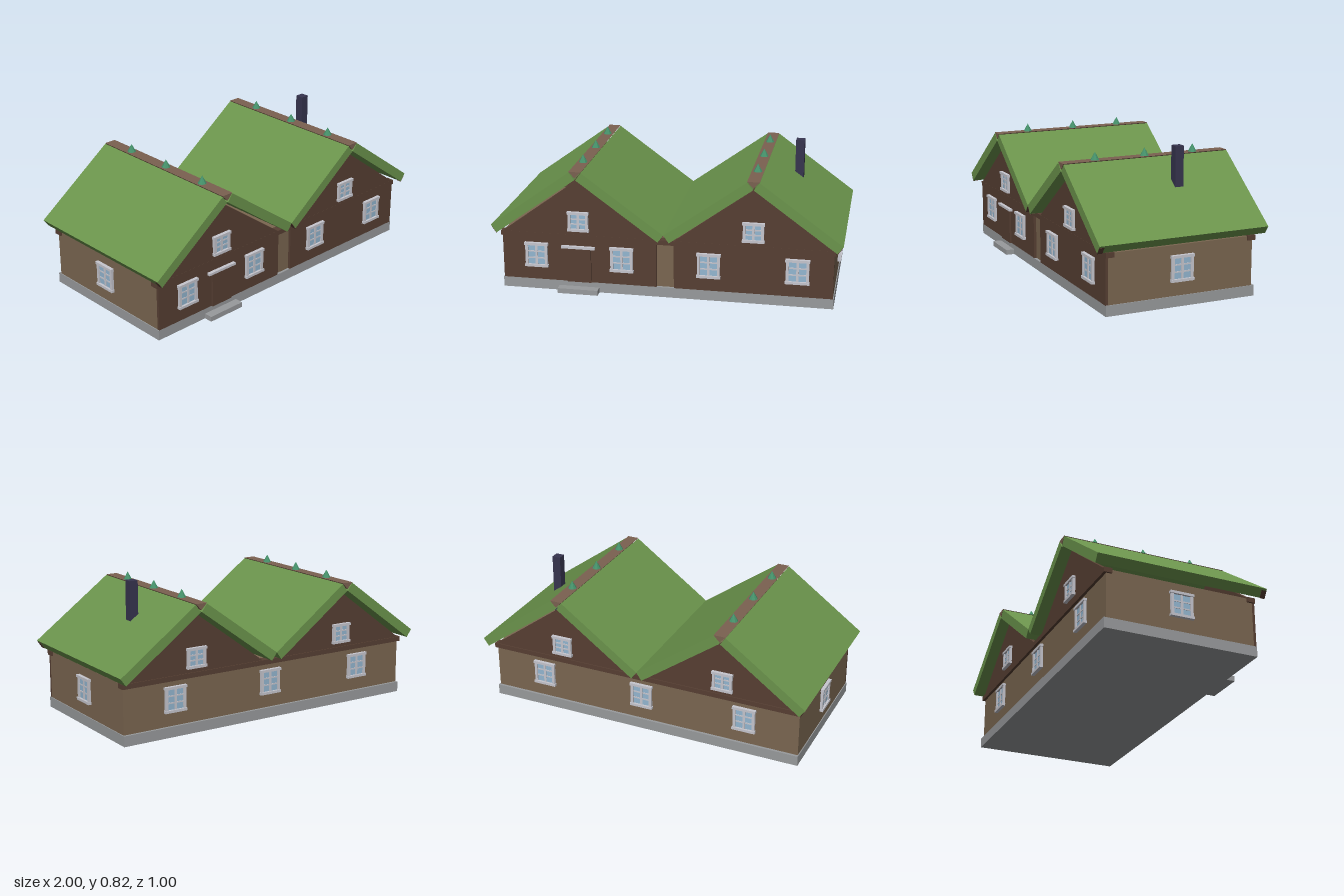
import * as THREE from 'three';

const mat = (name, color) => {
  const m = new THREE.MeshStandardMaterial({ color });
  m.name = name;
  return m;
};

export function createModel() {
  const turf = mat('turf green', 0x6b944c);
  const tan = mat('tan timber', 0x7a6650);
  const brown = mat('dark brown timber', 0x573f33);
  const ridgeWood = mat('ridge wood', 0x7a6150);
  const stone = mat('grey stone', 0x989a9c);
  const trim = mat('pale trim', 0xc6c6ce);
  const glass = mat('window glass', 0x93b6d0);
  const iron = mat('chimney slate', 0x36344e);
  const leaf = mat('ornament green', 0x45916a);

  const house = new THREE.Group();
  house.name = 'twinGableHouse';

  const add = (parent, name, geometry, material) => {
    const mesh = new THREE.Mesh(geometry, material);
    mesh.name = name;
    parent.add(mesh);
    return mesh;
  };
  // Box given by its low and high limits on each axis
  const box = (parent, name, material, x0, x1, y0, y1, z0, z1) => {
    const mesh = add(parent, name, new THREE.BoxGeometry(x1 - x0, y1 - y0, z1 - z0), material);
    mesh.position.set((x0 + x1) / 2, (y0 + y1) / 2, (z0 + z1) / 2);
    return mesh;
  };
  // Prism with an xy outline, running from z0 to z1
  const prism = (parent, name, material, points, z0, z1) => {
    const shape = new THREE.Shape(points.map(([x, y]) => new THREE.Vector2(x, y)));
    const geometry = new THREE.ExtrudeGeometry(shape, { depth: z1 - z0, bevelEnabled: false });
    geometry.translate(0, 0, z0);
    return add(parent, name, geometry, material);
  };

  // Base and walls
  box(house, 'foundation', stone, -0.955, 0.955, 0, 0.06, -0.445, 0.445);
  box(house, 'doorStep', stone, -0.62, -0.385, 0, 0.03, 0.445, 0.495);
  box(house, 'walls', tan, -0.95, 0.95, 0.06, 0.34, -0.43, 0.43);
  for (const side of [-1, 1]) {
    const z = side * 0.4225;
    box(house, 'tieBeam', brown, -0.96, 0.96, 0.317, 0.345, z - 0.0235, z + 0.0235);
  }

  // Window facing +z, with two columns and three rows of panes
  const makeWindow = (w, h) => {
    const win = new THREE.Group();
    win.name = 'window';
    const iw = w - 0.03, ih = h - 0.028;
    box(win, 'glassPane', glass, -iw / 2, iw / 2, -ih / 2, ih / 2, 0, 0.007);
    for (const s of [-1, 1]) {
      const x = s * (w / 2 - 0.009), y = s * (h / 2 - 0.0075);
      box(win, 'sideCasing', trim, x - 0.008, x + 0.008, -h / 2, h / 2, 0, 0.015);
      box(win, s > 0 ? 'headCasing' : 'sill', trim, -w / 2 - 0.003, w / 2 + 0.003, y - 0.0075, y + 0.0075, 0, 0.02);
      const barY = s * ih / 6;
      box(win, 'crossBar', trim, -iw / 2, iw / 2, barY - 0.004, barY + 0.004, 0, 0.01);
    }
    box(win, 'mullion', trim, -0.007, 0.007, -ih / 2, ih / 2, 0, 0.011);
    return win;
  };
  const placeWindow = (x, y, z, turn, w = 0.132, h = 0.146) => {
    const win = makeWindow(w, h);
    win.position.set(x, y, z);
    win.rotation.y = turn;
    house.add(win);
  };
  for (const x of [-0.75, -0.25, 0.25, 0.75]) placeWindow(x, 0.213, 0.445, 0);
  for (const x of [-0.63, 0, 0.63]) placeWindow(x, 0.213, -0.43, Math.PI);
  for (const s of [-1, 1]) placeWindow(s * 0.95, 0.213, 0, s * Math.PI / 2);

  // Door with its little canopy
  box(house, 'door', brown, -0.57, -0.43, 0.06, 0.265, 0.44, 0.455);
  box(house, 'doorCanopy', trim, -0.6, -0.405, 0.265, 0.279, 0.44, 0.465);

  // Roof slab outline: top edge from ridge to eave, then its square-cut underside
  const slab = [[0.035, 0.733], [0.003, 0.689], [0.468, 0.351], [0.5, 0.395]];

  for (const cx of [-0.5, 0.5]) {
    const wing = new THREE.Group();
    wing.name = 'gableWing';
    wing.position.x = cx;
    house.add(wing);

    // Front boarding and both gables
    box(wing, 'frontBoarding', brown, -0.45, 0.45, 0.06, 0.34, 0.43, 0.445);
    const gable = [[-0.45, 0.34], [0.45, 0.34], [0, 0.672]];
    prism(wing, 'frontGable', brown, gable, 0.415, 0.445);
    prism(wing, 'backGable', brown, gable, -0.44, -0.415);
    placeWindow(cx, 0.428, 0.445, 0, 0.12, 0.116);
    placeWindow(cx, 0.428, -0.44, Math.PI, 0.12, 0.116);

    // Roof slopes, with a timber bargeboard end at each front eave
    for (const s of [-1, 1]) {
      prism(wing, 'roofSlope', turf, slab.map(([x, y]) => [s * x, y]), -0.5, 0.5);
      const end = [[0.467, 0.349], [0.493, 0.386], [0.495, 0.385], [0.469, 0.348]];
      prism(wing, 'bargeboardEnd', brown, end.map(([x, y]) => [s * x, y]), 0.47, 0.5);
    }

    // Ridge timber filling the valley between the slopes, with cone ornaments
    prism(wing, 'ridgeTimber', ridgeWood, [[-0.035, 0.737], [0, 0.7], [0.035, 0.737]], -0.5, 0.5);
    for (const z of [-0.3, 0, 0.3]) {
      const geometry = new THREE.ConeGeometry(0.028, 0.05, 8).toNonIndexed();
      geometry.computeVertexNormals();
      add(wing, 'ridgeOrnament', geometry, leaf).position.set(0, 0.757, z);
    }
  }

  // Chimney
  box(house, 'chimney', iron, 0.675, 0.725, 0.33, 0.82, -0.125, -0.075);

  return house;
}
